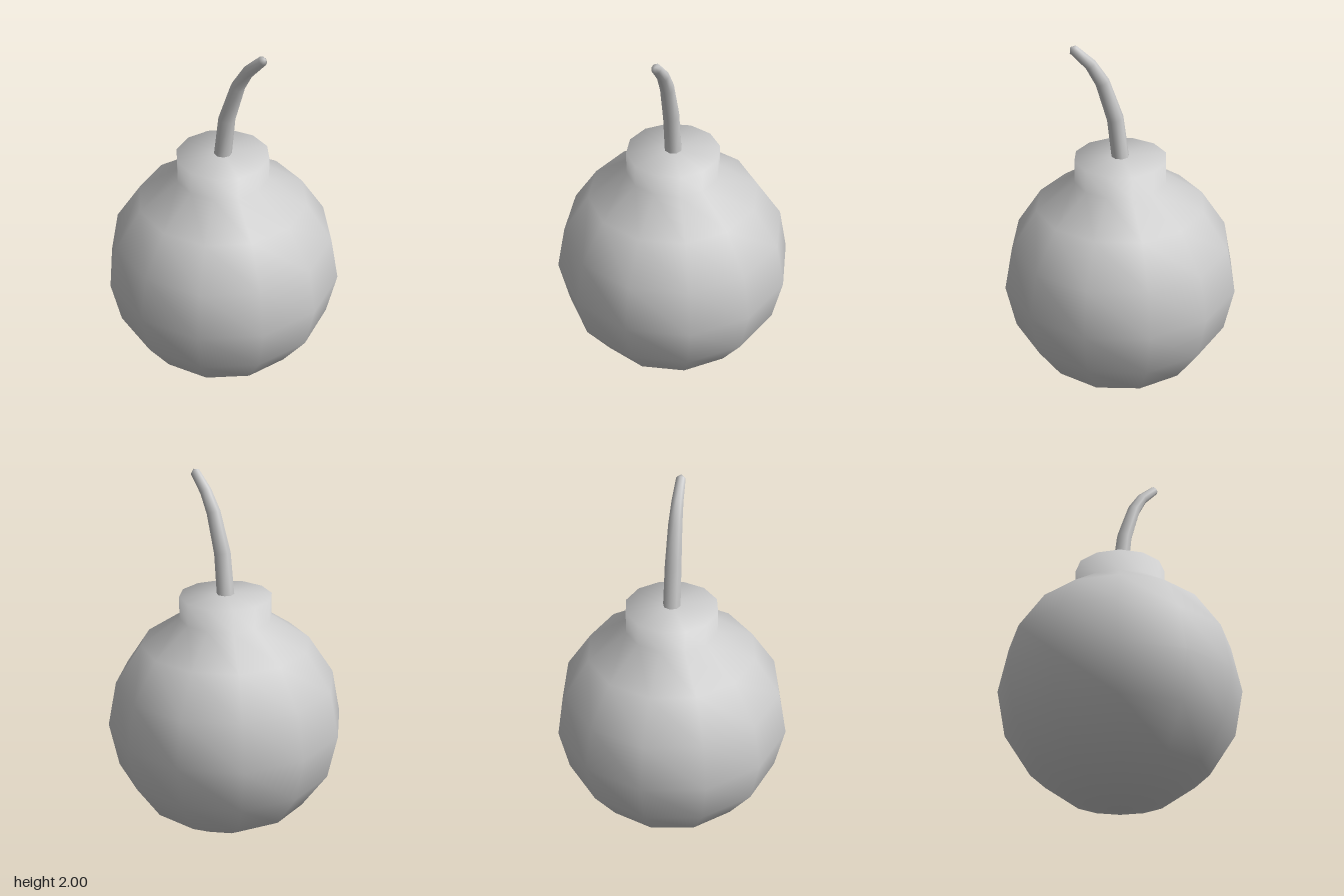
import * as THREE from 'three';
import { mergeVertices } from 'three/addons/utils/BufferGeometryUtils.js';

const material = new THREE.MeshStandardMaterial({ color: 0xcccccc });

// Share vertices so that the low-poly form is shaded smoothly
function smooth(geometry) {
  geometry.deleteAttribute('normal');
  geometry.deleteAttribute('uv');
  const merged = mergeVertices(geometry, 1e-4);
  merged.computeVertexNormals();
  return merged;
}

// Twelve-sided ball whose top ring is pulled up into a neck
function createBody() {
  const radius = 0.647;
  const profile = [];
  for (let i = 0; i <= 7; i++) {
    const a = (i * Math.PI) / 8;
    profile.push(new THREE.Vector2(radius * Math.sin(a), radius * (1 - Math.cos(a))));
  }
  profile.push(new THREE.Vector2(profile[7].x, 1.367), new THREE.Vector2(0, 1.376));
  profile[0].x = 0;
  const body = new THREE.Mesh(smooth(new THREE.LatheGeometry(profile, 12)), material);
  body.name = 'body';
  return body;
}

// Tapered bent rod: rings across a path, closed by a blunt tip
function createFuse() {
  const sides = 8;
  // x, y, z, radius
  const stations = [
    [0, 1.36, 0, 0.047],
    [0.028, 1.59, 0, 0.044],
    [0.095, 1.795, -0.006, 0.037],
    [0.155, 1.895, -0.01, 0.031],
    [0.242, 1.982, -0.014, 0.025],
    [0.256, 1.996, -0.014, 0],
  ];
  const centres = stations.map((s) => new THREE.Vector3(s[0], s[1], s[2]));
  const positions = [];
  const indices = [];
  stations.forEach((s, i) => {
    const next = centres[Math.min(i + 1, centres.length - 1)];
    const prev = centres[Math.max(i - 1, 0)];
    const tangent = next.clone().sub(prev).normalize();
    if (i === 0) tangent.set(0, 1, 0);
    const across = new THREE.Vector3(0, 0, 1).cross(tangent).normalize();
    const depth = across.clone().cross(tangent);
    for (let j = 0; j < sides; j++) {
      const a = (j / sides) * Math.PI * 2;
      const p = centres[i].clone()
        .addScaledVector(across, s[3] * Math.cos(a))
        .addScaledVector(depth, s[3] * Math.sin(a));
      positions.push(p.x, p.y, p.z);
      if (i > 0) {
        const k = (j + 1) % sides;
        const b = (i - 1) * sides;
        const t = i * sides;
        indices.push(b + j, t + j, b + k, b + k, t + j, t + k);
      }
    }
  });
  const geometry = new THREE.BufferGeometry();
  geometry.setAttribute('position', new THREE.Float32BufferAttribute(positions, 3));
  geometry.setIndex(indices);
  const fuse = new THREE.Mesh(smooth(geometry), material);
  fuse.name = 'fuse';
  return fuse;
}

export function createModel() {
  const model = new THREE.Group();
  model.name = 'roundBomb';
  model.add(createBody(), createFuse());
  return model;
}
